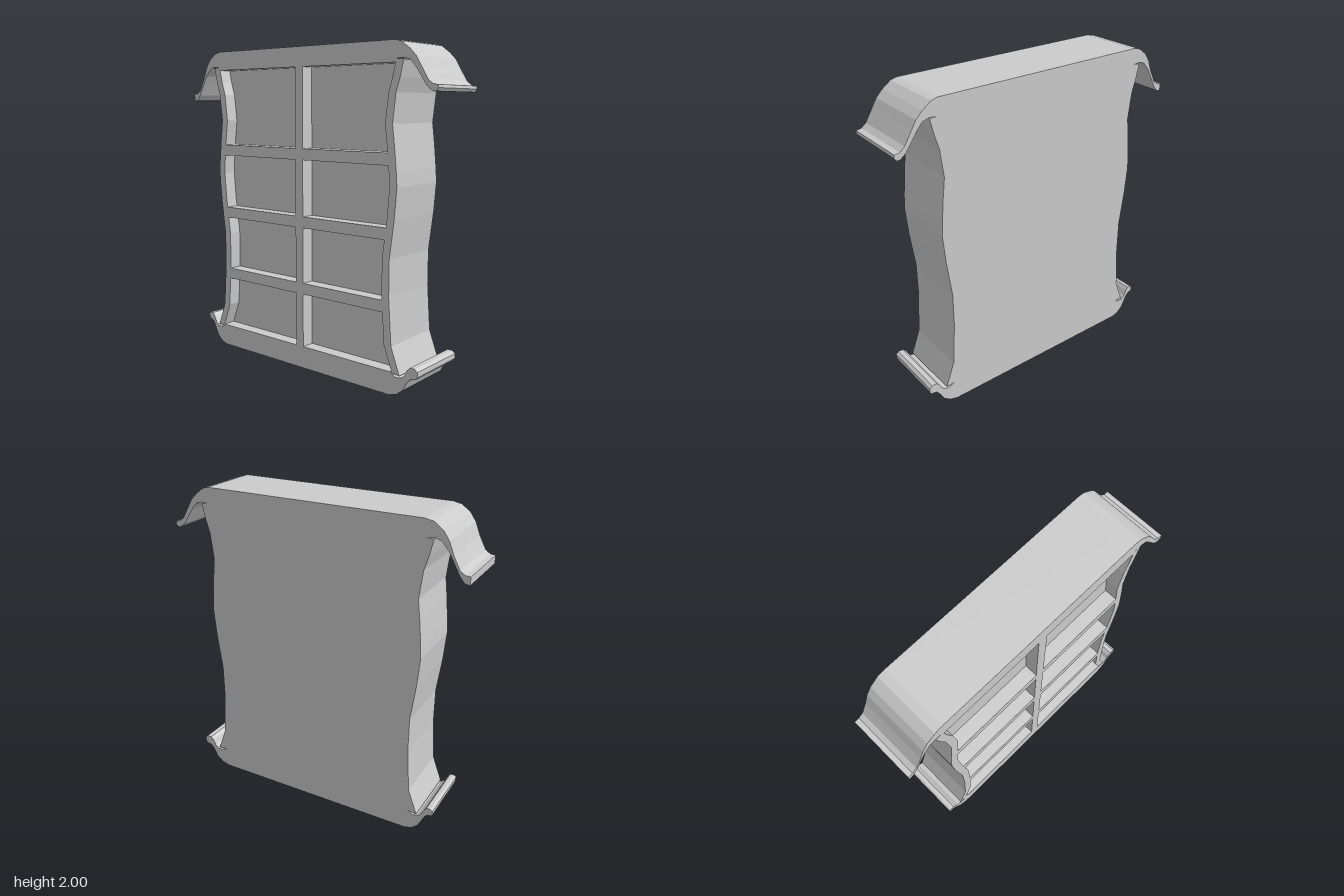
import * as THREE from 'three';

const HALF = 0.206;   // half thickness in x
const RECESS = 0.085; // depth of the compartments on the -x face
const RIM = 0.05;     // rim around the compartments
const RIB = 0.03;     // half width of the centre rib

// Wavy side contour as [z, y], bottom to top (same on both ends)
const side = [[0.76, 0.13], [0.70, 0.29], [0.68, 0.57], [0.68, 0.79], [0.71, 1.02], [0.725, 1.2],
  [0.72, 1.28], [0.705, 1.43], [0.69, 1.55], [0.71, 1.72], [0.735, 1.8], [0.757, 1.895]];

// Curled lips as [|z|, y], ordered from the foot or underside outwards
const lowFront = [[0.69, 0], [0.74, 0.015], [0.785, 0.05], [0.81, 0.1], [0.835, 0.13], [0.87, 0.135],
  [0.88, 0.15], [0.88, 0.18], [0.862, 0.195], [0.83, 0.195], [0.81, 0.175], [0.795, 0.14], [0.77, 0.12], [0.735, 0.117], [0.70, 0.135]];
const lowBack = [[0.69, 0], [0.735, 0.015], [0.775, 0.05], [0.80, 0.1], [0.82, 0.14], [0.84, 0.152],
  [0.862, 0.155], [0.865, 0.19], [0.85, 0.2], [0.825, 0.2], [0.81, 0.18], [0.79, 0.14], [0.765, 0.12], [0.735, 0.117], [0.70, 0.135]];
const topFront = [[0.71, 1.9], [0.76, 1.903], [0.80, 1.89], [0.835, 1.85], [0.87, 1.8], [0.905, 1.75],
  [0.94, 1.722], [0.963, 1.722], [0.975, 1.74], [0.972, 1.757], [0.94, 1.762], [0.91, 1.787], [0.865, 1.86], [0.835, 1.91], [0.795, 1.95], [0.74, 1.99], [0.70, 2]];
const topBack = [[0.71, 1.9], [0.765, 1.903], [0.80, 1.89], [0.84, 1.845], [0.875, 1.785], [0.91, 1.72],
  [0.94, 1.685], [0.97, 1.68], [0.97, 1.728], [0.94, 1.73], [0.91, 1.75], [0.87, 1.825], [0.84, 1.9], [0.805, 1.95], [0.75, 1.99], [0.70, 2]];

const vectors = (pts, s = 1) => pts.map(([z, y]) => new THREE.Vector2(z * s, y));

// Half width of the side contour at height y
function widthAt(y) {
  for (let i = 1; i < side.length; i++) {
    const [z0, y0] = side[i - 1], [z1, y1] = side[i];
    if (y <= y1) return z0 + (z1 - z0) * (y - y0) / (y1 - y0);
  }
  return side[side.length - 1][0];
}

function outline() {
  const front = [...lowFront, ...side, ...topFront];
  const back = [...lowBack, ...side, ...topBack].reverse();
  return new THREE.Shape([...vectors(front), ...vectors(back, -1)]);
}

// One compartment opening: straight at the rib, following the contour outside
function opening(y0, y1, s) {
  const inner = side.map(p => p[1]).filter(y => y > y0 + 0.01 && y < y1 - 0.01);
  const wall = [y0, ...inner, y1].map(y => [widthAt(y) - RIM, y]);
  return new THREE.Path(vectors([[RIB, y0], ...wall, [RIB, y1]], s));
}

// Extrude a z-y outline from x = start towards -x
function slab(name, shape, start, depth, material) {
  const geometry = new THREE.ExtrudeGeometry(shape, { depth, bevelEnabled: false });
  geometry.rotateY(-Math.PI / 2);
  geometry.translate(start, 0, 0);
  const mesh = new THREE.Mesh(geometry, material);
  mesh.name = name;
  return mesh;
}

export function createModel() {
  const group = new THREE.Group();
  group.name = 'panelBlock';
  const material = new THREE.MeshStandardMaterial({ color: 0xcccccc, flatShading: true });

  // Solid plate with the curled lips
  group.add(slab('solidPlate', outline(), HALF, 2 * HALF - RECESS, material));

  // Ribbed frame with two columns of four compartments
  const frame = outline();
  for (const [y0, y1] of [[0.14, 0.48], [0.55, 0.9], [0.97, 1.32], [1.39, 1.88]]) {
    for (const s of [1, -1]) frame.holes.push(opening(y0, y1, s));
  }
  group.add(slab('ribbedFrame', frame, -HALF + RECESS, RECESS, material));

  return group;
}
